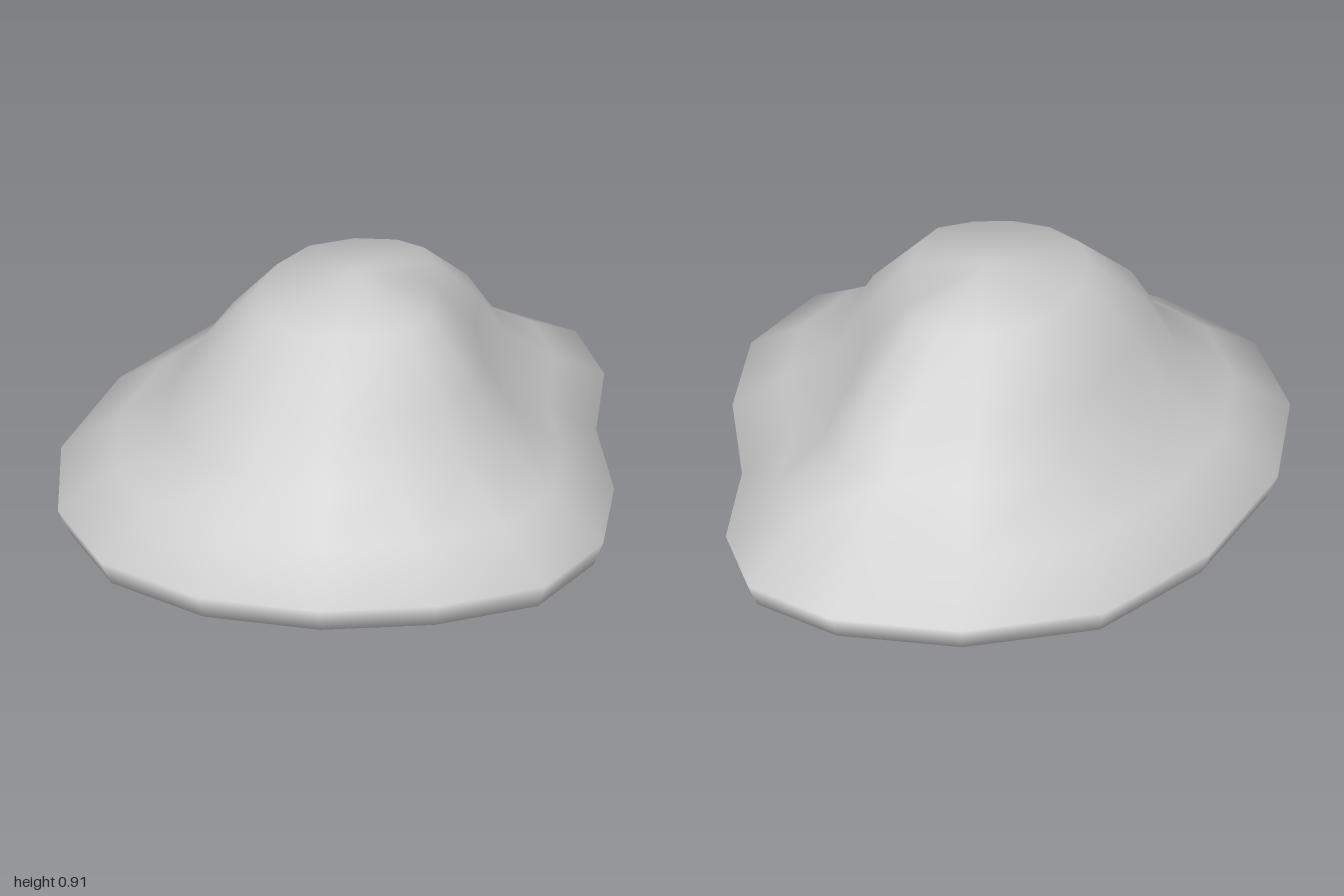
import * as THREE from 'three';

// Rim outline as [x, z], running from the back towards +x
const OUTLINE = [
  [-0.20, -0.97], [0.11, -1.0], [0.33, -0.84], [0.50, -0.55],
  [0.75, -0.29], [0.91, 0], [0.91, 0.32], [0.70, 0.61],
  [0.41, 0.85], [0.05, 1.0], [-0.32, 1.0], [-0.61, 0.82],
  [-0.82, 0.50], [-0.91, 0.05], [-0.85, -0.40], [-0.56, -0.76],
];

// Rings from the underside to the crown: [height, x scale, z scale, z offset]
const RINGS = [
  [0.015, 0.38, 0.41, 0],
  [0.04, 0.74, 0.77, 0],
  [0.11, 0.96, 0.96, 0],
  [0.20, 1.0, 1.0, 0],
  [0.335, 0.80, 0.81, 0.02],
  [0.475, 0.60, 0.635, 0.035],
  [0.65, 0.50, 0.53, 0.05],
  [0.85, 0.315, 0.33, 0.06],
];

// Closed, smooth skin over the rings, with a pole at each end
function loft(rings, outline, bottom, top) {
  const n = outline.length;
  const positions = [...bottom];
  for (const [y, sx, sz, dz] of rings) {
    for (const [x, z] of outline) positions.push(x * sx, y, z * sz + dz);
  }
  positions.push(...top);

  const index = [];
  const last = positions.length / 3 - 1;
  const at = (i, j) => 1 + i * n + (j % n);
  for (let j = 0; j < n; j++) {
    index.push(0, at(0, j), at(0, j + 1));
    for (let i = 0; i < rings.length - 1; i++) {
      const a = at(i, j), b = at(i, j + 1), c = at(i + 1, j), d = at(i + 1, j + 1);
      index.push(a, c, b, b, c, d);
    }
    index.push(at(rings.length - 1, j), last, at(rings.length - 1, j + 1));
  }

  const geometry = new THREE.BufferGeometry();
  geometry.setAttribute('position', new THREE.Float32BufferAttribute(positions, 3));
  geometry.setIndex(index);
  geometry.computeVertexNormals();
  return geometry;
}

export function createModel() {
  const group = new THREE.Group();
  group.name = 'moundModel';

  // Domed body flowing into a wide, uneven brim
  const body = new THREE.Mesh(
    loft(RINGS, OUTLINE, [0, 0, 0], [0, 0.91, 0.05]),
    new THREE.MeshStandardMaterial({ color: 0xcccccc }),
  );
  body.name = 'domedBody';
  group.add(body);

  return group;
}
